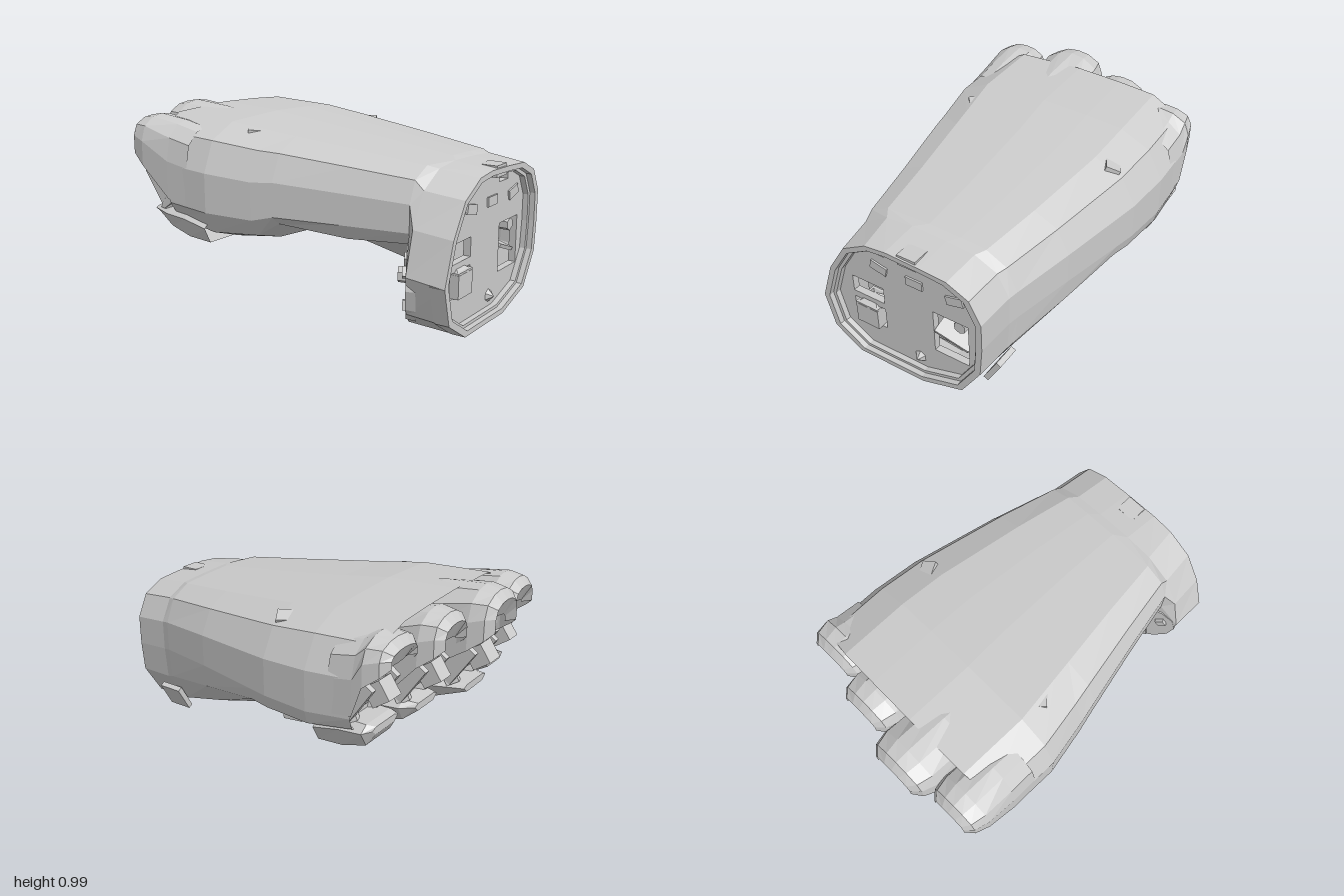
import * as THREE from 'three';

const mat = new THREE.MeshStandardMaterial({ color: 0xcccccc, flatShading: true, side: THREE.DoubleSide });

function add(parent, name, geo, x = 0, y = 0, z = 0, rx = 0, ry = 0, rz = 0) {
  const m = new THREE.Mesh(geo, mat);
  m.name = name;
  m.position.set(x, y, z);
  m.rotation.set(rx, ry, rz);
  parent.add(m);
}
const box = (w, h, d) => new THREE.BoxGeometry(w, h, d);
const lerp = THREE.MathUtils.lerp;

// Skin over rows of [x, y, z] points; optionally closed around and capped at the end
function loft(rows, closed) {
  const n = rows[0].length, pos = rows.flat(2), idx = [];
  for (let i = 0; i < rows.length - 1; i++) {
    for (let j = 0; j < (closed ? n : n - 1); j++) {
      const a = i * n + j, b = i * n + (j + 1) % n;
      idx.push(a, b, a + n, b, b + n, a + n);
    }
  }
  if (closed) {
    const last = rows[rows.length - 1], c = pos.length / 3, s = (rows.length - 1) * n;
    pos.push(...[0, 1, 2].map(k => last.reduce((t, p) => t + p[k], 0) / n));
    for (let j = 0; j < n; j++) idx.push(s + j, s + (j + 1) % n, c);
  }
  const g = new THREE.BufferGeometry();
  g.setAttribute('position', new THREE.Float32BufferAttribute(pos, 3));
  g.setIndex(idx);
  const flat = g.toNonIndexed();
  flat.computeVertexNormals();
  return flat;
}

// Hand cross-section: an arch above the seam, a rounded belly below it.
// The belly's left floor lifts away behind the thumb stump, whose end is skewed;
// rake pushes the crown forward over the knuckles.
const arch = [[-1, 0], [-1, .45], [-.9, .8], [-.66, .97], [-.1, 1], [.3, .98], [.62, .95], [.87, .79], [1, .45], [1, 0]];
function section(z, xl, xr, seamL, seamR, top, floorL, floorR, lean, skew = 0, rake = 0) {
  const c = (xl + xr) / 2, h = (xr - xl) / 2;
  const upper = arch.map(([u, v]) => [c + u * h + (u < -.2 ? lean * v : 0), lerp(u < 0 ? seamL : seamR, top, v), z - rake * v]);
  const right = [[.97, .4], [.74, .82], [.25, 1]].map(([u, v]) => [c + u * h, lerp(seamR, floorR, v), z]);
  const left = [[.62, 1], [.91, .65]].map(([k, v]) => [xl * k, lerp(seamL, floorL, v), z + skew * xl * (1 - k)]);
  return [...upper, ...right, ...left];
}
// z, left x, right x, left seam, right seam, top, left floor, right floor, lean, skew, rake
const body = [
  [1, -.57, .43, .3, .42, .78, 0, 0, .16],
  [.79, -.57, .45, .32, .44, .805, .01, 0, .13, .5],
  [.74, -.46, .465, .5, .45, .815, .4, .03, 0, .5],
  [.4, -.525, .55, .5, .47, .855, .38, .15, 0],
  [.02, -.605, .63, .5, .47, .9, .43, .3, 0],
  [-.1, -.63, .655, .47, .47, .915, .33, .29, 0],
  [-.37, -.68, .68, .48, .47, .95, .3, .29, 0],
  [-.63, -.675, .675, .5, .5, .968, .36, .35, 0, 0, .14],
  [-.58, -.64, .64, .5, .5, .93, .39, .38, 0],
].map(row => section(...row));

// Knuckles: outer x edges, crown height, tip z
const fingers = [[-.68, -.36, .95, -.945], [-.37, .01, .985, -1], [0, .34, .95, -.905], [.32, .68, .915, -.815]];

function makeFinger([x0, x1, top, tip], i) {
  const g = new THREE.Group(), c = (x0 + x1) / 2, w = (x1 - x0) / 2;
  g.name = 'knuckle' + (i + 1);
  // Arched hood, open below: z, crown, lower edge, width factor
  const hood = [[-.5, top - .05, .5, .98], [-.64, top - .02, .52, 1], [tip + .12, top, .68, 1],
    [tip + .04, top - .015, .74, .88], [tip, top - .06, .78, .64], [tip + .06, top - .17, .76, .62]];
  const hoodArch = [[-1, 0], [-1, .5], [-.84, .8], [-.42, .96], [0, 1], [.42, .96], [.84, .8], [1, .5], [1, 0]];
  add(g, 'knuckleHood', loft(hood.map(([z, t, b, f]) =>
    hoodArch.map(([u, v]) => [c + u * w * f, lerp(b, t, v), z]))));

  // Joint hardware beneath the hood
  const z = tip + .14;
  add(g, 'jointHub', new THREE.CylinderGeometry(.085, .085, w * 1.2, 8), c, .6, z + .09, 0, 0, Math.PI / 2);
  add(g, 'jointBlock', box(w * .6, .11, .11), c, .6, z - .02, .6);
  add(g, 'jointCore', box(w * .9, .2, .2), c, .64, z + .18, .5);
  for (const s of [-1, 1]) {
    add(g, 'jointBracket', box(.035, .24, .12), c + s * w * .62, .58, z + .07, -.6);
    add(g, 'jointStud', box(.06, .06, .07), c + s * w * .5, .47, z + .1, .5, .4);
  }

  // Palm pad under the joint: z, bottom, top, width factor
  const pad = [[-.4, .3, .42, .86], [-.55, .31, .46, .86], [-.68, .35, .46, .86], [Math.min(tip + .15, -.72), .41, .45, .65]];
  const hex = [[-1, .7], [-.7, 1], [.7, 1], [1, .7], [.7, 0], [-.7, 0]];
  add(g, 'fingerPad', loft(pad.map(([pz, lo, hi, f]) =>
    hex.map(([u, v]) => [c + u * w * f, lerp(lo, hi, v), pz])), true));
  return g;
}

function makeWristSocket() {
  const g = new THREE.Group();
  g.name = 'wristSocket';
  const outline = k => body[0].map(([x, y]) => new THREE.Vector2(lerp(-.07, x, k), lerp(.39, y, k)));
  const rect = (x0, x1, y0, y1) => new THREE.Path([[x0, y0], [x0, y1], [x1, y1], [x1, y0]].map(p => new THREE.Vector2(...p)));
  const slab = (shape, depth) => new THREE.ExtrudeGeometry(shape, { depth, bevelEnabled: false });

  // Outer rim, stepped inner ring and recessed plate with windows
  for (const [name, a, b, z, depth] of [['wristRim', 1, .93, .92, .08], ['innerRing', .93, .89, .9, .07]]) {
    const ring = new THREE.Shape(outline(a));
    ring.holes.push(new THREE.Path(outline(b)));
    add(g, name, slab(ring, depth), 0, 0, z);
  }
  const plate = new THREE.Shape(outline(.92));
  plate.holes.push(rect(-.41, -.21, .36, .46), rect(-.41, -.21, .19, .32), rect(.1, .31, .2, .46),
    rect(-.25, -.18, .68, .72), rect(.08, .18, .68, .72));
  add(g, 'wristPlate', slab(plate, .04), 0, 0, .9);
  add(g, 'socketBacking', box(.75, .4, .02), -.06, .34, .8);

  // Connectors and latches
  add(g, 'plugBlock', box(.14, .13, .14), -.31, .255, .9);
  add(g, 'plugCap', new THREE.ConeGeometry(.1, .05, 4), -.31, .335, .9, 0, Math.PI / 4);
  add(g, 'socketRamp', box(.2, .02, .16), .2, .33, .86, .3, 0, -.35);
  add(g, 'socketBolt', new THREE.CylinderGeometry(.035, .035, .1, 6), .25, .42, .88, Math.PI / 2);
  add(g, 'topLatch', box(.11, .06, .1), 0, .76, .94);
  add(g, 'lowerLatch', new THREE.ConeGeometry(.05, .05, 6), 0, .1, .95, Math.PI / 2);
  for (const x of [-.22, 0, .24]) add(g, 'plateTab', box(.1, .05, .04), x, .6, .93, 0, 0, x);
  return g;
}

function makeThumbMount() {
  const g = new THREE.Group();
  g.name = 'thumbMount';
  g.position.set(-.38, .25, .715);
  g.rotation.y = .5;
  // Hinge plate closing the angled end of the thumb stump
  add(g, 'thumbDisc', new THREE.CylinderGeometry(.2, .21, .05, 12), 0, 0, 0, -Math.PI / 2);
  add(g, 'thumbHub', new THREE.CylinderGeometry(.04, .05, .08, 6), 0, .02, -.03, -Math.PI / 2);
  for (const a of [.5, 2.6, 4.5])
    add(g, 'thumbStud', box(.05, .05, .04), Math.cos(a) * .13, Math.sin(a) * .13, -.025, 0, 0, a);
  return g;
}

export function createModel() {
  const model = new THREE.Group();
  model.name = 'hand';
  add(model, 'palmShell', loft(body, true));
  model.add(...fingers.map(makeFinger), makeWristSocket(), makeThumbMount());

  // Fasteners on the back of the hand, side panel, palm stud and seam ridge
  add(model, 'backScrew', box(.08, .04, .08), -.43, .888, -.23, .1, .75);
  add(model, 'backScrew', box(.08, .04, .08), .5, .845, -.12, 0, .5, -.4);
  add(model, 'sidePanel', box(.16, .03, .14), .385, .125, .785, 0, 0, 1.05);
  add(model, 'palmStud', box(.1, .05, .12), .4, .28, -.12, .1);
  add(model, 'seamLip', box(.03, .03, .95), .57, .455, .02, 0, -.16);
  return model;
}
